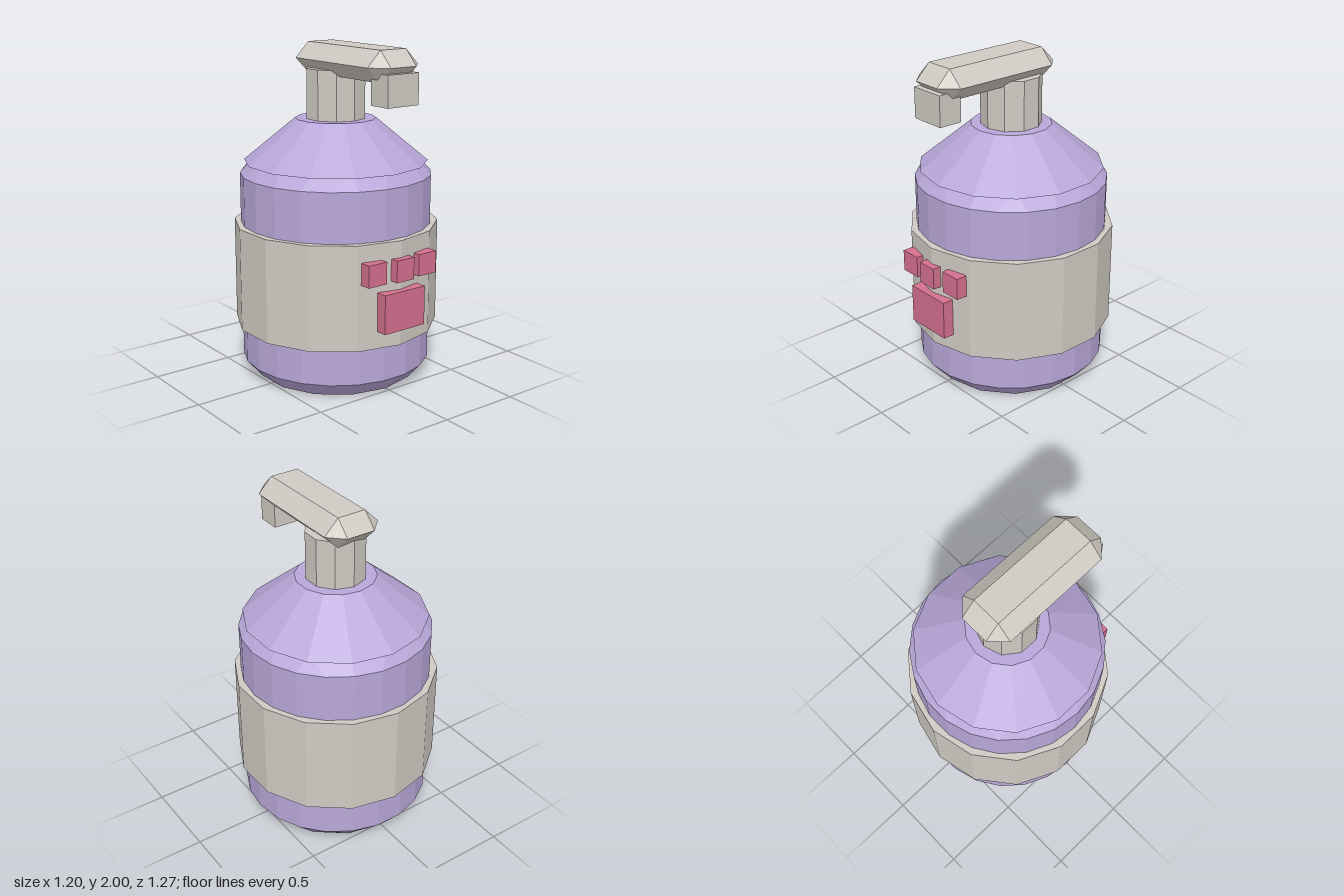
import * as THREE from 'three';
import { ConvexGeometry } from 'three/addons/geometries/ConvexGeometry.js';

const mat = (name, color) => {
  const m = new THREE.MeshStandardMaterial({ color, flatShading: true });
  m.name = name;
  return m;
};

// ring of points around the bottle axis
function ring(radius, y, sides, offset = 0) {
  return Array.from({ length: sides }, (_, i) => {
    const a = ((i + offset) / sides) * Math.PI * 2;
    return new THREE.Vector3(Math.sin(a) * radius, y, Math.cos(a) * radius);
  });
}

export function createModel() {
  const purple = mat('purple', 0xb9a7d9);
  const grey = mat('warm grey', 0xcfcac2);
  const pink = mat('pink', 0xd46f8f);
  const group = new THREE.Group();
  const axisZ = -0.02;

  const add = (name, geometry, material, x, y, z) => {
    const mesh = new THREE.Mesh(geometry, material);
    mesh.name = name;
    mesh.position.set(x, y, z);
    group.add(mesh);
    return mesh;
  };
  const drum = (name, rTop, rBottom, y0, y1, sides, material) =>
    add(name, new THREE.CylinderGeometry(rTop, rBottom, y1 - y0, sides), material, 0, (y0 + y1) / 2, axisZ);
  const box = (name, x0, x1, y0, y1, z0, z1, material) =>
    add(name, new THREE.BoxGeometry(x1 - x0, y1 - y0, z1 - z0), material,
      (x0 + x1) / 2, (y0 + y1) / 2, (z0 + z1) / 2);

  // bottle with facetted bevels, coarser at both ends
  add('body', new ConvexGeometry([
    ...ring(0.49, 0, 14),
    ...ring(0.573, 0.095, 22, 0.5),
    ...ring(0.573, 1.235, 22, 0.5),
    ...ring(0.49, 1.325, 14),
  ]), purple, 0, 0, axisZ);

  // shoulder, label band and neck
  drum('shoulder', 0.24, 0.55, 1.305, 1.56, 14, purple);
  drum('labelBand', 0.615, 0.615, 0.315, 0.94, 14, grey);
  drum('neck', 0.18, 0.18, 1.55, 1.855, 10, grey);

  // pump head: a box bevelled on all edges
  const bevel = 0.09, hx = 0.18, hy = 0.09, hz = 0.425;
  const headPoints = [];
  for (const sx of [-1, 1]) for (const sz of [-1, 1]) {
    const ix = sx * (hx - bevel), iz = sz * (hz - bevel);
    headPoints.push(
      new THREE.Vector3(ix, hy, iz), new THREE.Vector3(ix, -hy, iz),
      new THREE.Vector3(sx * hx, 0, iz), new THREE.Vector3(ix, 0, sz * hz));
  }
  add('pumpHead', new ConvexGeometry(headPoints), grey, 0, 1.91, 0.165);
  box('nozzle', -0.11, 0.11, 1.695, 1.875, 0.445, 0.59, grey);

  // paw emblem
  box('pawPad', -0.147, 0.147, 0.42, 0.653, 0.565, 0.633, pink);
  box('middleToe', -0.063, 0.063, 0.71, 0.84, 0.565, 0.633, pink);
  for (const s of [-1, 1]) {
    const x = s * 0.183;
    box(s > 0 ? 'leftToe' : 'rightToe', x - 0.065, x + 0.065, 0.71, 0.84, 0.543, 0.611, pink);
  }
  return group;
}
